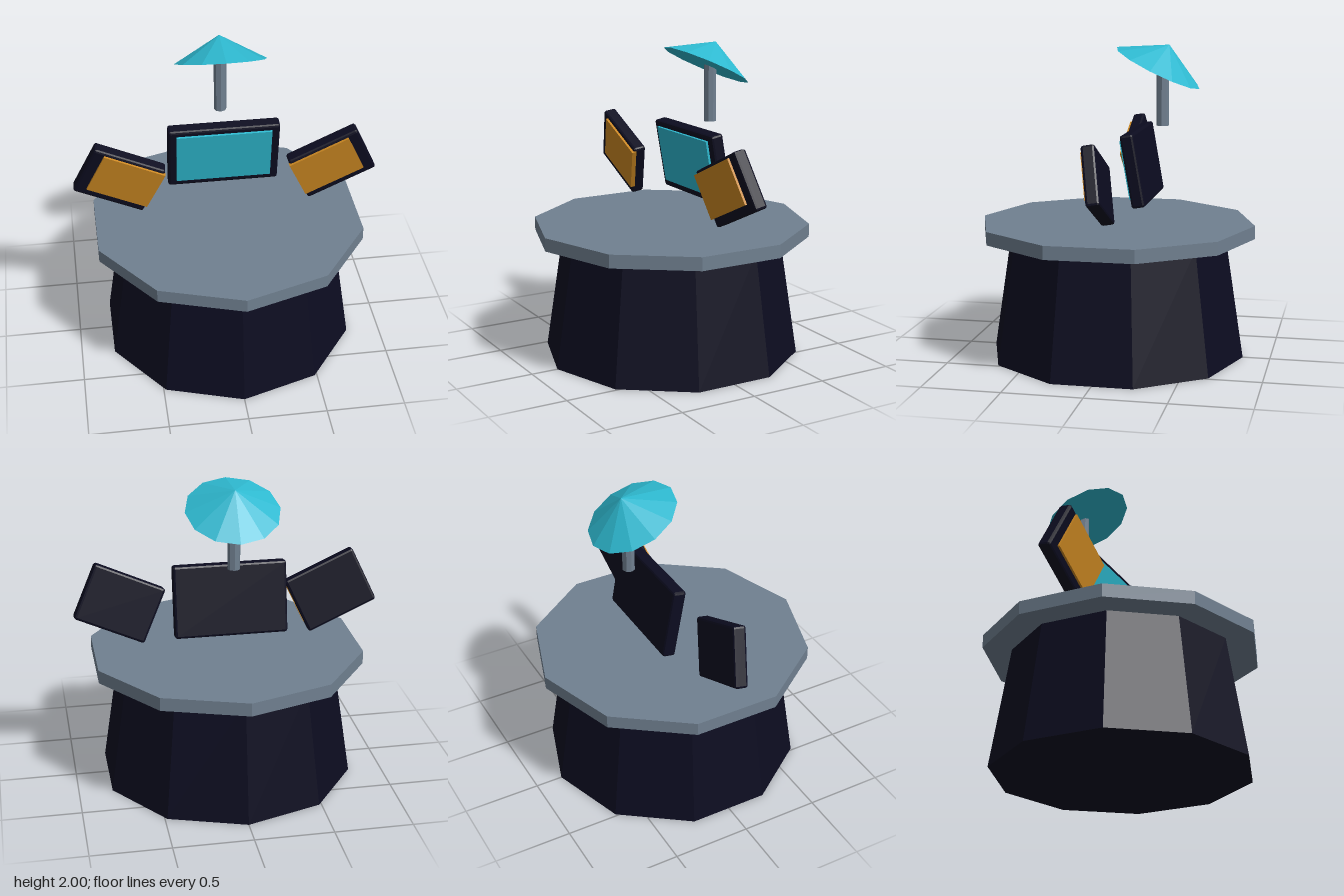
import * as THREE from 'three';
import { RoundedBoxGeometry } from 'three/addons/geometries/RoundedBoxGeometry.js';

function material(name, color) {
  const m = new THREE.MeshStandardMaterial({ color, flatShading: true });
  m.name = name;
  return m;
}

export function createModel() {
  const model = new THREE.Group();
  model.name = 'commandTable';

  const navy = material('darkNavy', 0x0c0c20);
  const slate = material('slateGrey', 0x708090);
  const cyan = material('cyan', 0x2eb9d0);
  const amber = material('amber', 0xcc8822);

  function add(parent, name, geometry, mat, x, y, z) {
    const mesh = new THREE.Mesh(geometry, mat);
    mesh.name = name;
    mesh.position.set(x, y, z);
    parent.add(mesh);
    return mesh;
  }

  // Ten-sided tapered pedestal and table top
  add(model, 'pedestal', new THREE.CylinderGeometry(0.705, 0.825, 0.78, 10), navy, 0, 0.39, 0);
  add(model, 'tableTop', new THREE.CylinderGeometry(0.89, 0.89, 0.085, 10), slate, 0, 0.8225, 0);

  // Chamfered monitor leaning forward, with a raised display; roll turns it in the front plane
  const depth = 0.085;
  function monitor(name, w, h, pos, roll, screen) {
    const group = new THREE.Group();
    group.name = name;
    group.position.set(...pos);
    group.rotation.set(0.175, 0, roll, 'ZXY');
    add(group, 'monitorCase', new RoundedBoxGeometry(w, h, depth, 1, 0.015), navy, 0, 0, 0);
    add(group, 'display', new THREE.BoxGeometry(screen.w, screen.h, 0.03), screen.mat,
      screen.x, screen.y, depth / 2);
    model.add(group);
  }

  monitor('centreMonitor', 0.715, 0.458, [0, 1.243, -0.165], 0,
    { w: 0.61, h: 0.37, x: 0, y: 0.008, mat: cyan });

  // Mirrored side monitors, displays set toward the inner edge
  for (const [name, s] of [['leftMonitor', 1], ['rightMonitor', -1]]) {
    monitor(name, 0.48, 0.372, [s * 0.68, 1.205, -0.022], s * 0.43,
      { w: 0.412, h: 0.293, x: -s * 0.037, y: 0.02, mat: amber });
  }

  // Antenna mast and tilted conical dish
  add(model, 'antennaMast', new THREE.CylinderGeometry(0.04, 0.04, 0.375, 8), slate, 0, 1.6775, -0.293);
  const tilt = -0.453, height = 0.163;
  const dish = add(model, 'antennaDish', new THREE.ConeGeometry(0.293, height, 12), cyan,
    0, 1.853 + Math.cos(tilt) * height / 2, -0.262 + Math.sin(tilt) * height / 2);
  dish.rotation.x = tilt;

  return model;
}
